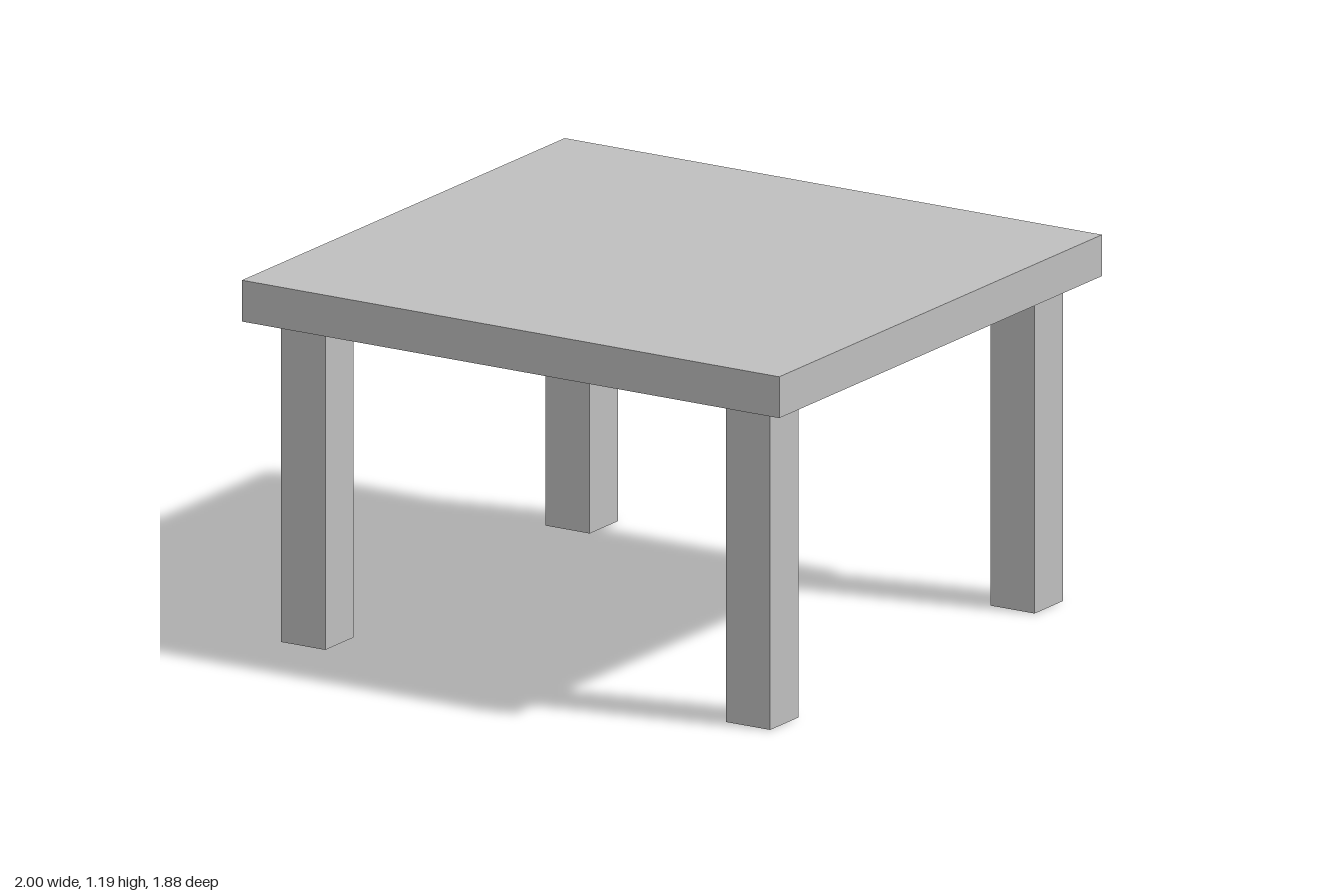
import * as THREE from 'three';

export function createModel() {
  const model = new THREE.Group();
  model.name = 'table';
  const grey = new THREE.MeshStandardMaterial({ color: 0xbfbfbf });
  grey.name = 'light grey';

  const height = 1.19, topThickness = 0.135, legWidth = 0.164;
  const legHeight = height - topThickness;

  function addBox(name, size, position) {
    const mesh = new THREE.Mesh(new THREE.BoxGeometry(...size), grey);
    mesh.name = name;
    mesh.position.set(...position);
    model.add(mesh);
  }

  // Slab top
  addBox('tableTop', [2, topThickness, 1.88], [0, height - topThickness / 2, 0]);

  // Four square legs, set in from the corners
  for (const [endName, z] of [['front', 0.77], ['back', -0.77]]) {
    for (const [sideName, x] of [['Left', 0.828], ['Right', -0.828]]) {
      addBox(`${endName}${sideName}Leg`, [legWidth, legHeight, legWidth], [x, legHeight / 2, z]);
    }
  }
  return model;
}
